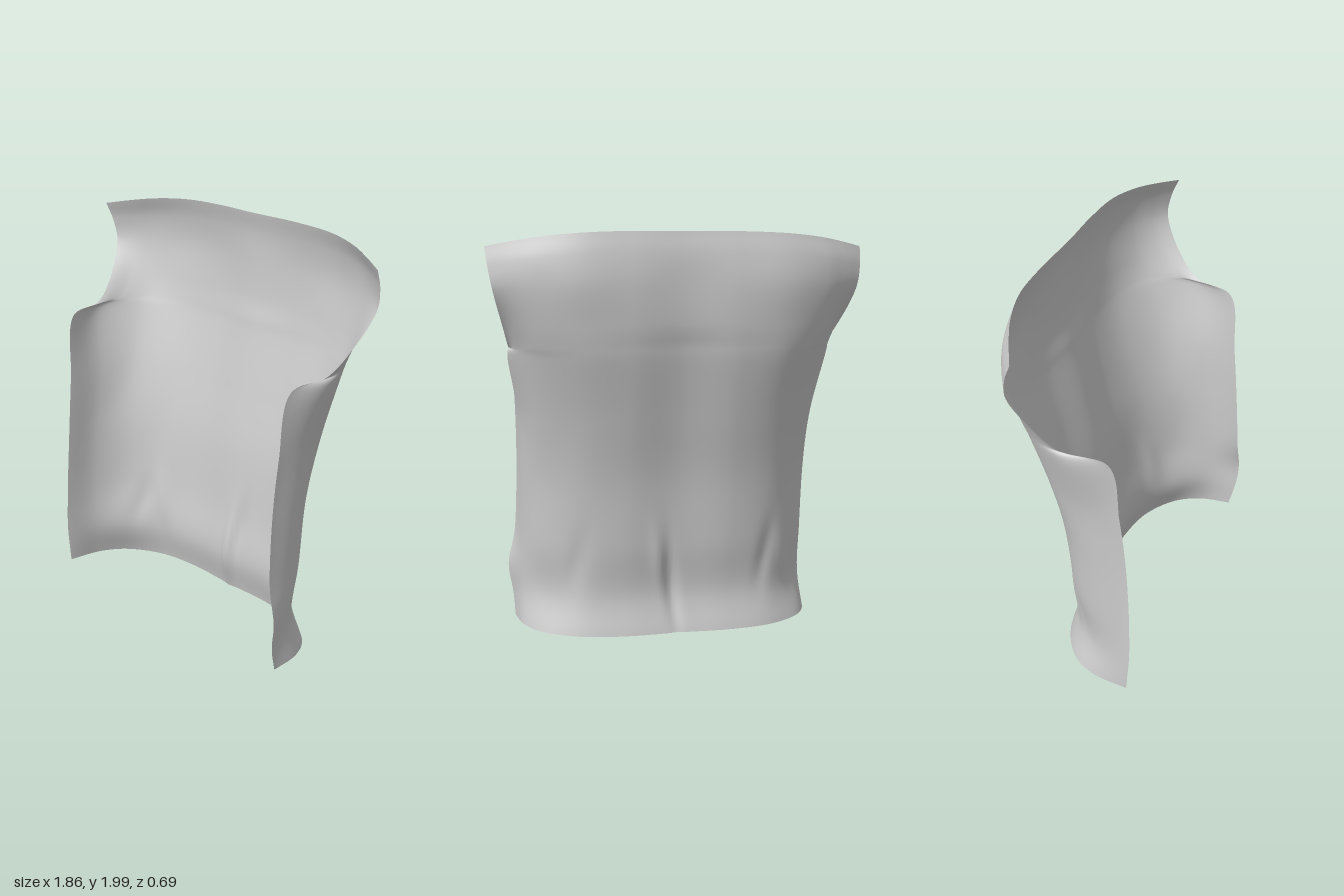
import * as THREE from 'three';

// Half cross-sections from hem to shoulder line, centre to side edge:
// [centre y, edge y, [x of five stations], [z of centre and five stations]]
const SECTIONS = [
  [0.01, 0.03, [0.27, 0.50, 0.67, 0.745, 0.77], [-0.135, -0.14, -0.10, 0.01, 0.14, 0.31]],
  [0.20, 0.20, [0.27, 0.49, 0.64, 0.725, 0.77], [-0.095, -0.10, -0.06, 0.06, 0.18, 0.345]],
  [0.45, 0.45, [0.27, 0.49, 0.65, 0.73, 0.76], [-0.12, -0.13, -0.08, 0.03, 0.17, 0.345]],
  [0.80, 0.80, [0.27, 0.50, 0.66, 0.735, 0.75], [-0.155, -0.17, -0.12, 0, 0.14, 0.325]],
  [1.10, 1.10, [0.27, 0.50, 0.68, 0.75, 0.755], [-0.215, -0.235, -0.19, -0.07, 0.09, 0.295]],
  [1.40, 1.415, [0.27, 0.52, 0.715, 0.81, 0.775], [-0.28, -0.305, -0.275, -0.16, 0.03, 0.25]],
  [1.46, 1.45, [0.27, 0.52, 0.70, 0.785, 0.81], [-0.29, -0.315, -0.29, -0.20, -0.08, 0.05]],
  [1.56, 1.55, [0.27, 0.52, 0.69, 0.785, 0.845], [-0.31, -0.33, -0.31, -0.245, -0.16, -0.06]],
  [1.76, 1.73, [0.27, 0.52, 0.70, 0.81, 0.90], [-0.32, -0.34, -0.335, -0.28, -0.22, -0.16]],
  [1.90, 1.84, [0.27, 0.51, 0.70, 0.82, 0.92], [-0.315, -0.325, -0.32, -0.27, -0.21, -0.15]],
  [2.00, 1.93, [0.27, 0.50, 0.68, 0.81, 0.93], [-0.295, -0.30, -0.29, -0.24, -0.18, -0.115]],
];
// How far each station's height moves from the centre's to the edge's
const DROP = [0, 0, 0.12, 0.36, 0.66, 1];

// Soft folds above the hem: x, y, half width, half height, depth, slant
const FOLDS = [
  [0.03, 0.25, 0.03, 0.22, 0.025, 0.10],
  [0.10, 0.38, 0.03, 0.14, -0.012, 0.15],
  [-0.46, 0.38, 0.04, 0.15, 0.014, -0.15],
  [-0.58, 0.32, 0.04, 0.13, -0.012, 0.20],
  [0.50, 0.38, 0.05, 0.16, 0.010, -0.15],
];

const bell = (d, w) => Math.exp(-(d * d) / (w * w));

function foldDepth(x, y) {
  let sum = 0;
  for (const [fx, fy, w, h, depth, slant] of FOLDS) {
    sum += depth * bell(x - fx - slant * (y - fy), w) * bell(y - fy, h);
  }
  return sum;
}

// Cloth surface lofted through the sections
function clothGeometry(cols, rows) {
  // One lengthwise spline per station, mirrored across x
  const rails = [];
  for (let s = -5; s <= 5; s++) {
    const i = Math.abs(s);
    rails.push(new THREE.CatmullRomCurve3(SECTIONS.map(([yc, ye, xs, zs]) =>
      new THREE.Vector3(
        i ? Math.sign(s) * xs[i - 1] : 0,
        yc + (ye - yc) * DROP[i],
        zs[i],
      ))));
  }

  const positions = [];
  const index = [];
  for (let r = 0; r <= rows; r++) {
    const section = new THREE.CatmullRomCurve3(rails.map((rail) => rail.getPoint(r / rows)));
    for (let c = 0; c <= cols; c++) {
      const u = (c / cols) * 2 - 1;
      const p = section.getPoint(c / cols);
      const side = Math.abs(u) ** 8;
      p.z += foldDepth(p.x, p.y);
      // The left edge kicks out above the hem, the right edge reaches forward at it
      if (u > 0) p.x += 0.03 * side * bell(p.y - 0.3, 0.12);
      else p.z += 0.025 * side * bell(p.y, 0.12);
      positions.push(p.x, p.y, p.z);
      if (r < rows && c < cols) {
        const a = r * (cols + 1) + c;
        const b = a + cols + 1;
        index.push(a, b, a + 1, a + 1, b, b + 1);
      }
    }
  }
  const geometry = new THREE.BufferGeometry();
  geometry.setAttribute('position', new THREE.Float32BufferAttribute(positions, 3));
  geometry.setIndex(index);
  geometry.computeVertexNormals();
  return geometry;
}

export function createModel() {
  const group = new THREE.Group();
  group.name = 'garmentBack';
  const material = new THREE.MeshStandardMaterial({ color: 0xcccccc, side: THREE.DoubleSide });
  const panel = new THREE.Mesh(clothGeometry(140, 100), material);
  panel.name = 'backPanel';
  group.add(panel);
  return group;
}
